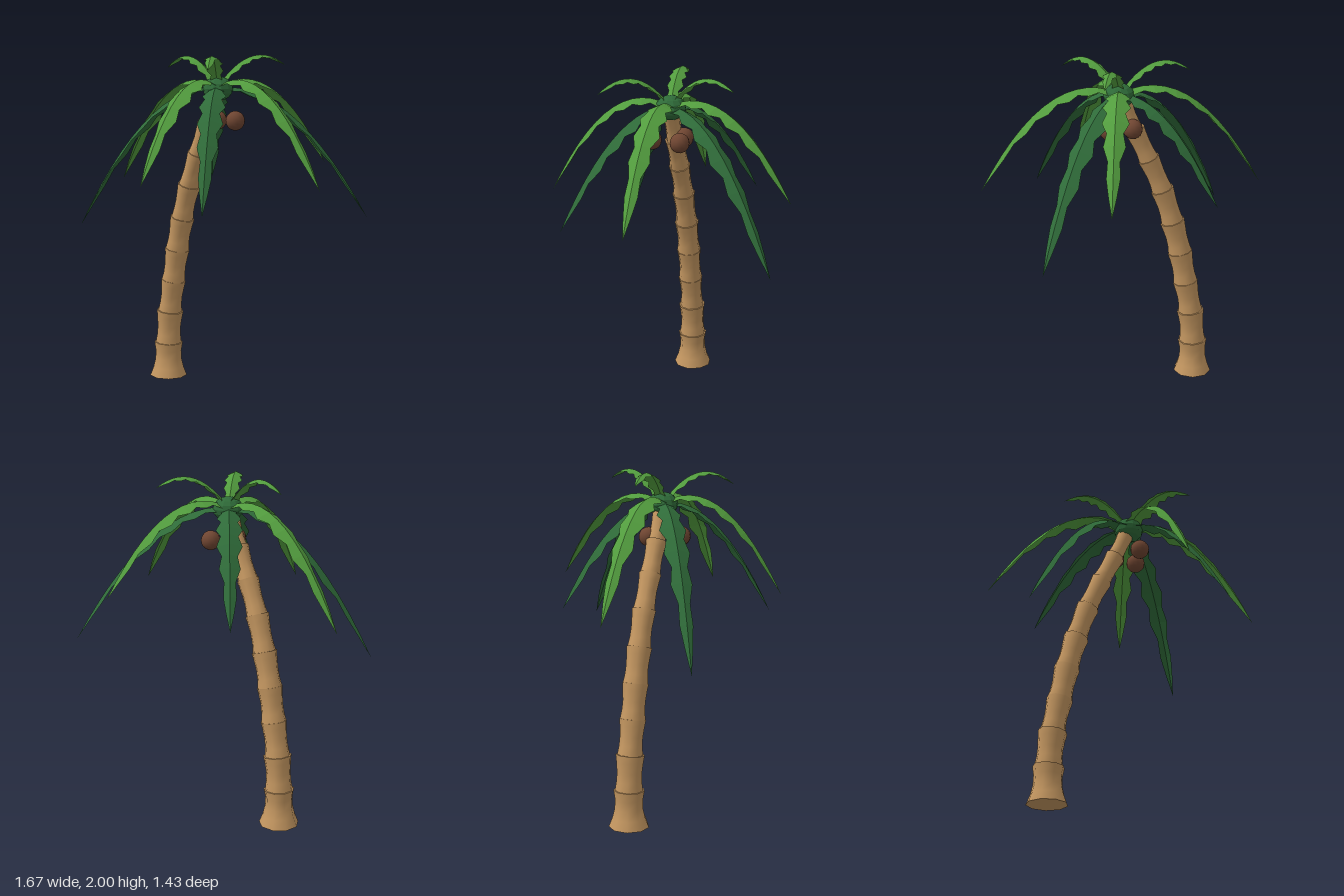
import * as THREE from 'three';
import { mergeGeometries } from 'three/addons/utils/BufferGeometryUtils.js';

const mat = (name, color, extra = {}) => {
  const m = new THREE.MeshStandardMaterial({ color, ...extra });
  m.name = name;
  return m;
};

const CROWN = new THREE.Vector3(0.025, 1.815, 0.03);
const SIDES = 9;

// Skin through rings of { c: centre, n: in-plane axis, r: radius }; the other axis is z
function loft(rings) {
  const pos = [], idx = [];
  for (const { c, n, r } of rings) {
    for (let i = 0; i < SIDES; i++) {
      const a = (i / SIDES) * Math.PI * 2;
      const k = Math.cos(a) * r;
      pos.push(c.x + n.x * k, c.y + n.y * k, c.z + Math.sin(a) * r);
    }
  }
  for (let j = 0; j < rings.length - 1; j++) {
    for (let i = 0; i < SIDES; i++) {
      const a = j * SIDES + i, b = j * SIDES + ((i + 1) % SIDES);
      idx.push(a, a + SIDES, b, b, a + SIDES, b + SIDES);
    }
  }
  const g = new THREE.BufferGeometry();
  g.setAttribute('position', new THREE.Float32BufferAttribute(pos, 3));
  g.setIndex(idx);
  g.computeVertexNormals();
  return g;
}

// Leaning trunk of stacked hourglass segments, each flaring to a rim at its top
function makeTrunk(material) {
  const curve = new THREE.CatmullRomCurve3([
    [-0.438, 0], [-0.435, 0.215], [-0.418, 0.42], [-0.383, 0.62], [-0.345, 0.82],
    [-0.295, 1.02], [-0.23, 1.225], [-0.147, 1.42], [-0.063, 1.6], [0.012, 1.78],
  ].map(([x, y]) => new THREE.Vector3(x, y, 0.03)));
  const rims = [0.09, 0.084, 0.077, 0.076, 0.075, 0.07, 0.065, 0.061, 0.053];
  const ring = (u, r) => {
    const t = curve.getTangent(u);
    const n = u === 0 ? new THREE.Vector3(1, 0, 0) : new THREE.Vector3(t.y, -t.x, 0);
    return { c: curve.getPoint(u), n, r };
  };
  const group = new THREE.Group();
  group.name = 'trunk';
  rims.forEach((rim, i) => {
    const at = (f, r) => ring((i + f) / rims.length, r);
    const body = i === 0
      ? [at(0, 0.117), at(0.25, 0.096), at(0.5, 0.083), at(0.75, 0.081), at(1, rim)]
      : [at(0, rim * 0.97), at(0.25, rim * 0.88), at(0.5, rim * 0.86), at(0.8, rim * 0.93), at(1, rim)];
    const parts = [loft(body), loft([at(1, rim), at(1, 0)])];
    if (i === 0) parts.push(loft([at(0, 0), at(0, 0.117)]));
    const mesh = new THREE.Mesh(mergeGeometries(parts), material);
    mesh.name = 'trunkSegment' + (i + 1);
    group.add(mesh);
  });
  return group;
}

// Serrated, ridged leaf arching along a parabola from the crown to its tip
function makeFrond(name, tip, rise, width, material) {
  const N = 13;
  const end = new THREE.Vector3(...tip);
  const dx = end.x - CROWN.x, dz = end.z - CROWN.z, dy = end.y - CROWN.y;
  const len = Math.hypot(dx, dz);
  const sx = -dz / len, sz = dx / len;
  const pos = [], idx = [];
  for (let i = 0; i <= N; i++) {
    const t = i / N;
    const y = CROWN.y + rise * t + (dy - rise) * t * t;
    const slope = (rise + 2 * (dy - rise) * t) / len;
    const env = Math.pow(Math.max(0, Math.sin(Math.PI * (0.15 + 0.85 * t))), 0.8);
    const w = i === N ? 0 : width * env * (i % 2 || i > N - 3 ? 1 : 0.66);
    // edges hang below the ridge, square to its slope
    const drop = w * 0.45 / Math.hypot(1, slope);
    const x = CROWN.x + dx * t, z = CROWN.z + dz * t;
    const ex = x + (dx / len) * slope * drop, ez = z + (dz / len) * slope * drop;
    pos.push(ex + sx * w, y - drop, ez + sz * w, x, y, z, ex - sx * w, y - drop, ez - sz * w);
    if (i === N) continue;
    for (const k of [0, 1]) {
      const a = i * 3 + k, b = a + 1, c = a + 3, d = a + 4;
      idx.push(a, b, d, a, d, c);
    }
  }
  const indexed = new THREE.BufferGeometry();
  indexed.setAttribute('position', new THREE.Float32BufferAttribute(pos, 3));
  indexed.setIndex(idx);
  const g = indexed.toNonIndexed();
  g.computeVertexNormals();
  const mesh = new THREE.Mesh(g, material);
  mesh.name = name;
  return mesh;
}

export function createModel() {
  const bark = mat('bark tan', 0xc39660);
  const light = mat('light leaf green', 0x529c3e, { side: THREE.DoubleSide, flatShading: true });
  const dark = mat('dark leaf green', 0x2f6b39, { side: THREE.DoubleSide, flatShading: true });
  const shell = mat('coconut brown', 0x704632);

  const model = new THREE.Group();
  model.name = 'palmTree';
  model.add(makeTrunk(bark));

  // Crown knob
  const crown = new THREE.Mesh(new THREE.SphereGeometry(0.09, 12, 8), dark);
  crown.name = 'crown';
  crown.scale.y = 0.78;
  crown.position.set(0.028, 1.805, 0.028);
  model.add(crown);

  // Long light fronds
  [[0.19, 1.345, -0.718], [0.833, 1.275, 0.027], [0.17, 1.295, 0.713], [-0.835, 1.225, 0.067]]
    .forEach((tip, i) => model.add(makeFrond('lightFrond' + (i + 1), tip, 0.4, 0.078, light)));

  // Drooping dark fronds
  [[0.555, 1.04, -0.695], [0.47, 1.15, 0.54], [-0.678, 0.98, 0.513], [-0.467, 1.235, -0.368]]
    .forEach((tip, i) => model.add(makeFrond('darkFrond' + (i + 1), tip, 0.07, 0.076, dark)));

  // Short upright fronds
  [[0.315, 1.91, 0.36], [0.172, 1.94, -0.38], [-0.395, 1.925, 0.055]]
    .forEach((tip, i) => model.add(makeFrond('topFrond' + (i + 1), tip, 0.58, 0.053, light)));

  // Coconuts
  [[0.068, 1.62, 0.127], [0.095, 1.62, -0.047], [-0.042, 1.62, -0.03]].forEach((p, i) => {
    const nut = new THREE.Mesh(new THREE.SphereGeometry(0.057, 12, 10), shell);
    nut.name = 'coconut' + (i + 1);
    nut.position.set(...p);
    model.add(nut);
  });

  return model;
}
